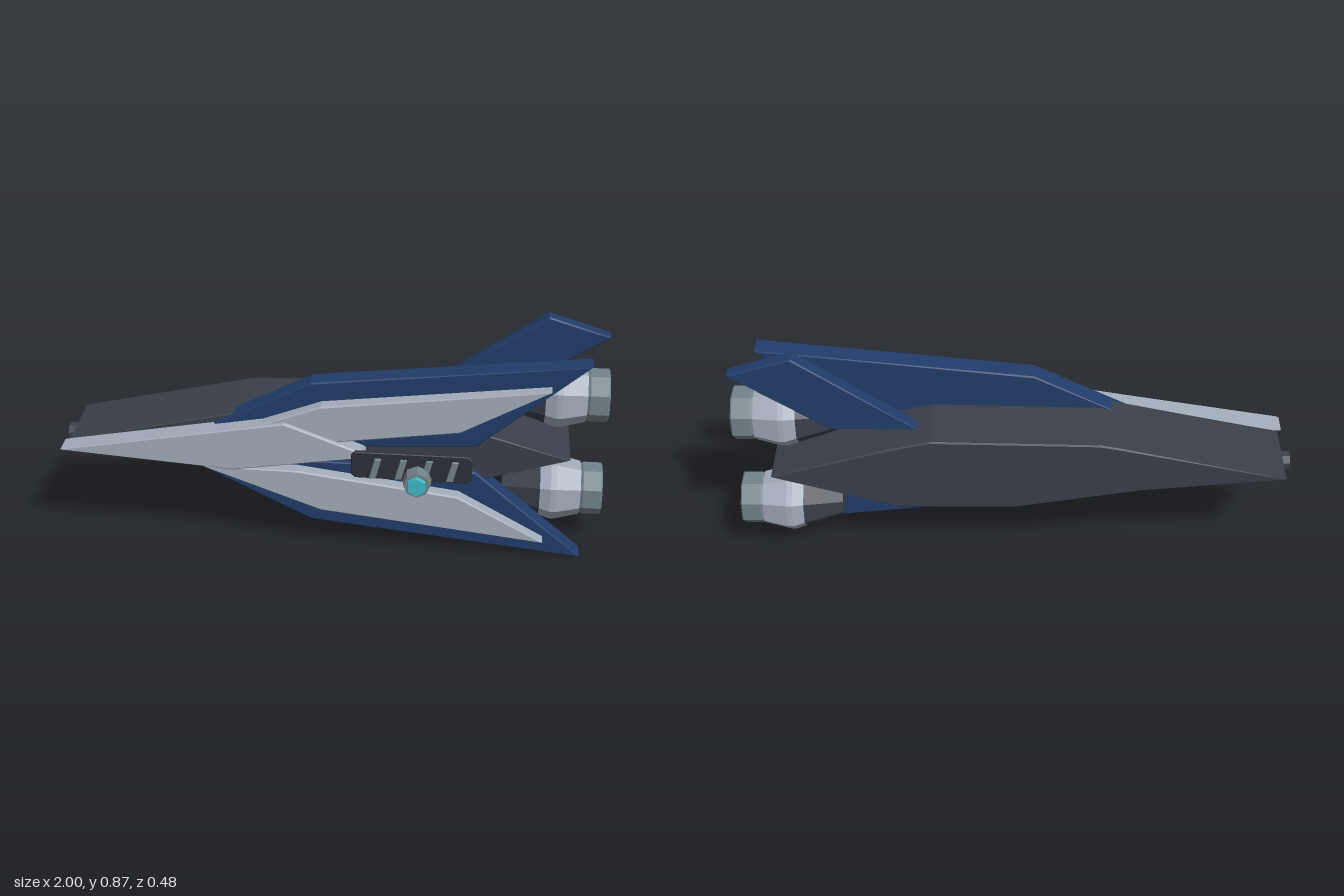
import * as THREE from 'three';

const paint = (name, color) => {
  const m = new THREE.MeshStandardMaterial({ color });
  m.name = name;
  return m;
};

export function createModel() {
  const blue = paint('navy blue', 0x213c6a);
  const light = paint('light grey', 0xa3adba);
  const dark = paint('charcoal', 0x3a3f49);
  const panelDark = paint('dark panel', 0x2c3038);
  const mid = paint('steel grey', 0x73838a);
  const cyan = paint('cyan', 0x3fbccb);

  const ship = new THREE.Group();
  ship.name = 'spacecraft';

  const add = (name, geometry, material, parent = ship) => {
    const flat = geometry.index ? geometry.toNonIndexed() : geometry;
    flat.computeVertexNormals(); // faceted normals
    const mesh = new THREE.Mesh(flat, material);
    mesh.name = name;
    parent.add(mesh);
    return mesh;
  };

  // Slab with a bevelled edge: outline in x,y between z0 and z1
  const slab = (name, pts, z0, z1, material, bevel = 0.005) => {
    const shape = new THREE.Shape(pts.map(([x, y]) => new THREE.Vector2(x, y)));
    const g = new THREE.ExtrudeGeometry(shape, {
      depth: z1 - z0 - 2 * bevel, bevelEnabled: true, bevelThickness: bevel,
      bevelSize: bevel, bevelOffset: -bevel, bevelSegments: 1,
    });
    g.translate(0, 0, z0 + bevel);
    return add(name, g, material);
  };

  // Eight-sided turned part along x; profile is [x, half width across flats]
  const turned = (name, profile, material, parent) => {
    const pts = profile.map(([x, r]) => new THREE.Vector2(r / Math.cos(Math.PI / 8), x));
    const g = new THREE.LatheGeometry(pts, 8, Math.PI / 8);
    g.rotateZ(-Math.PI / 2);
    return add(name, g, material, parent);
  };

  // Hull and nose plate
  slab('hull', [
    [-0.97, 0.388], [-0.45, 0.332], [0, 0.255], [0.42, 0.255],
    [0.87, 0.39], [0.45, 0.513], [0.3, 0.548], [-0.3, 0.535], [-0.37, 0.522],
  ], -0.24, 0.05, dark);
  slab('nosePlate', [
    [-0.985, 0.39], [-0.35, 0.338], [0.13, 0.41], [0.12, 0.43], [-0.16, 0.535],
  ], 0.05, 0.138, light);

  // Mirrored wings with raised panels
  const wing = [[-0.55, 0.352], [-0.07, 0.108], [0.925, 0.002], [0.53, 0.335], [0.2, 0.352]];
  const inset = [[-0.46, 0.338], [-0.03, 0.177], [0.785, 0.083], [0.47, 0.258], [-0.12, 0.336]];
  const flip = (pts) => pts.map(([x, y]) => [x, 0.777 - y]);
  slab('lowerWing', wing, -0.01, 0.072, blue);
  slab('upperWing', flip(wing), -0.01, 0.072, blue);
  slab('lowerWingPanel', inset, 0.06, 0.122, light);
  slab('upperWingPanel', flip(inset), 0.06, 0.122, light);

  // Tail fin
  slab('tailFin', [[0.34, 0.57], [0.65, 0.57], [0.995, 0.797], [0.77, 0.867]], -0.196, -0.14, blue);

  // Two engines
  for (const [name, y] of [['lowerEngine', 0.195], ['upperEngine', 0.582]]) {
    const engine = new THREE.Group();
    engine.name = name;
    engine.position.set(0, y, -0.109);
    ship.add(engine);
    turned('engineCone', [[0.63, 0], [0.63, 0.058], [0.77, 0.1]], dark, engine);
    turned('engineCowl', [[0.77, 0.1], [0.81, 0.113], [0.83, 0.113], [0.92, 0.092], [0.92, 0.06]], light, engine);
    turned('engineNozzle', [
      [0.92, 0.085], [0.93, 0.09], [0.995, 0.09], [1, 0.085], [1, 0.066], [0.99, 0.06], [0.94, 0.055],
    ], mid, engine);
    turned('nozzleCore', [[0.94, 0.056], [0.94, 0]], light, engine);
  }

  // Gun under the nose
  const gun = new THREE.Group();
  gun.name = 'gun';
  gun.position.set(0, 0.35, -0.082);
  ship.add(gun);
  turned('gunMuzzle', [[-1, 0], [-1, 0.034], [-0.93, 0.034], [-0.93, 0]], dark, gun);
  turned('gunRod', [[-0.94, 0.01], [-0.88, 0.01]], mid, gun);
  turned('gunBarrel', [[-0.9, 0], [-0.9, 0.026], [-0.58, 0.038], [-0.58, 0]], mid, gun);

  // Side panel with slanted vents
  slab('sidePanel', [
    [0.085, 0.365], [0.1, 0.352], [0.5, 0.345], [0.517, 0.36],
    [0.517, 0.44], [0.5, 0.453], [0.1, 0.455], [0.085, 0.44],
  ], 0.158, 0.176, panelDark, 0.003);
  for (let i = 0; i < 4; i++) {
    const x = 0.15 + i * 0.092;
    slab('vent', [[x, 0.355], [x + 0.024, 0.355], [x + 0.044, 0.433], [x + 0.02, 0.433]],
      0.17, 0.185, mid, 0.002);
  }

  // Sensor on the side panel
  const disc = (name, r, z0, z1, sides, material) => {
    const g = new THREE.CylinderGeometry(r * 0.93, r, z1 - z0, sides);
    g.rotateX(Math.PI / 2);
    g.translate(0.323, 0.358, (z0 + z1) / 2);
    add(name, g, material);
  };
  disc('sensorHousing', 0.052, 0.174, 0.226, 8, mid);
  disc('sensorLens', 0.037, 0.224, 0.241, 6, cyan);

  return ship;
}
